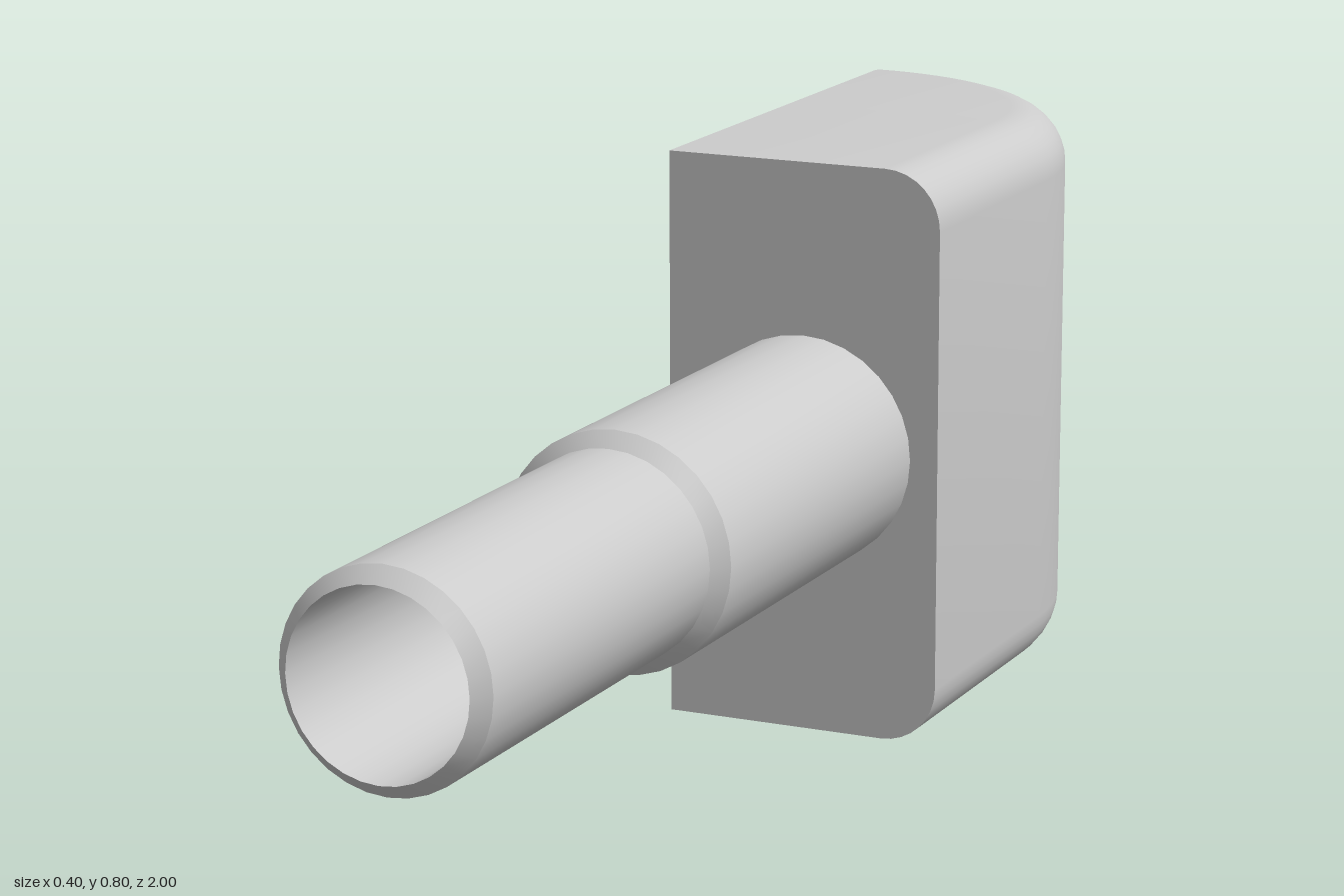
import * as THREE from 'three';
import { toCreasedNormals } from 'three/addons/utils/BufferGeometryUtils.js';

const FILLET = 0.08, RADIUS = 0.4, HEIGHT = 0.8;
const LEFT = -0.2, FRONT = -0.2, BEND = -0.6; // flat side, front face, start of the curved back

// Half section of the block: flat bottom, rounded edge, wall, rounded edge, flat top
function blockProfile(steps = 8) {
  const points = [[0, 0]];
  for (const [cy, start] of [[FILLET, -Math.PI / 2], [HEIGHT - FILLET, 0]]) {
    for (let i = 0; i <= steps; i++) {
      const a = start + (i / steps) * Math.PI / 2;
      points.push([RADIUS - FILLET + FILLET * Math.cos(a), cy + FILLET * Math.sin(a)]);
    }
  }
  points.push([0, HEIGHT]);
  return points;
}

// Sweep the section straight back, then a quarter turn about the flat side
function sweptShell(profile, turnSteps = 20) {
  const stations = [[FRONT, 0]];
  for (let i = 0; i <= turnSteps; i++) stations.push([BEND, (i / turnSteps) * Math.PI / 2]);
  const positions = [], indices = [], n = profile.length;
  for (const [z, a] of stations) {
    for (const [r, y] of profile) positions.push(LEFT + r * Math.cos(a), y, z - r * Math.sin(a));
  }
  for (let i = 0; i < stations.length - 1; i++) {
    for (let j = 0; j < n - 1; j++) {
      const a = i * n + j, b = a + n;
      // Skip triangles that collapse on the turning axis
      if (i === 0 || j > 0) indices.push(a, b, a + 1);
      if (i === 0 || j < n - 2) indices.push(b, b + 1, a + 1);
    }
  }
  const geometry = new THREE.BufferGeometry();
  geometry.setAttribute('position', new THREE.Float32BufferAttribute(positions, 3));
  geometry.setIndex(indices);
  return toCreasedNormals(geometry, 0.5);
}

function flatFace(points) {
  return new THREE.ShapeGeometry(new THREE.Shape(points.map(([x, y]) => new THREE.Vector2(x, y))));
}

export function createModel() {
  const model = new THREE.Group();
  const material = new THREE.MeshStandardMaterial({ color: 0xcccccc });
  const add = (parent, name, geometry) => {
    const mesh = new THREE.Mesh(geometry, material);
    mesh.name = name;
    parent.add(mesh);
  };

  // Block with one rounded back corner
  const block = new THREE.Group();
  block.name = 'block';
  model.add(block);
  const profile = blockProfile();
  add(block, 'blockShell', sweptShell(profile));
  add(block, 'blockFront', flatFace(profile).translate(LEFT, 0, FRONT));
  const side = [[FRONT, 0], ...profile.slice(1, -1).map(([r, y]) => [BEND - r, y]), [FRONT, HEIGHT]];
  add(block, 'blockSide', flatFace(side).rotateY(-Math.PI / 2).translate(LEFT, 0, 0));

  // Hollow stepped pipe with chamfered shoulder and tip, open at the front
  const pipe = [[0.16, FRONT], [0.16, 0.38], [0.14, 0.4], [0.14, 0.98], [0.12, 1], [0.12, FRONT]]
    .map(([r, z]) => new THREE.Vector2(r, z));
  const pipeGeometry = new THREE.LatheGeometry(pipe, 32).rotateX(Math.PI / 2).translate(0, HEIGHT / 2, 0);
  add(model, 'steppedPipe', toCreasedNormals(pipeGeometry, 0.5));

  return model;
}
